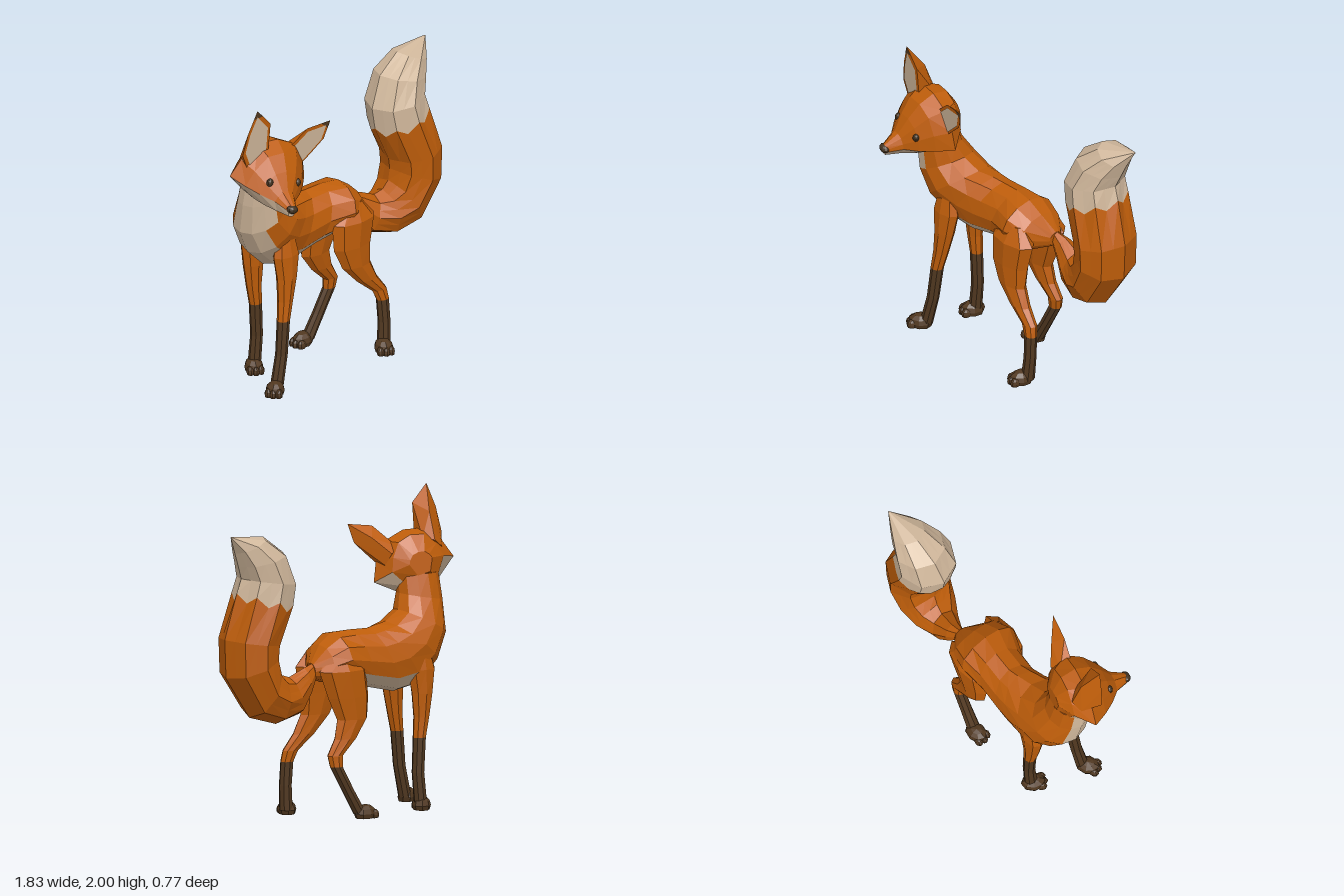
import * as THREE from 'three';
import { ConvexGeometry } from 'three/addons/geometries/ConvexGeometry.js';

const paint = (name, color) => {
  const m = new THREE.MeshStandardMaterial({ color });
  m.name = name;
  return m;
};
const V = (x, y, z) => new THREE.Vector3(x, y, z);

// Skins a list of point rings; colour(ring, side) picks the material index.
function loft(rings, colour) {
  const tris = [[], [], []];
  const n = rings[0].length, last = rings.length - 1;
  const add = (m, ...pts) => pts.forEach(p => tris[m].push(p.x, p.y, p.z));
  const mid = r => r.reduce((s, p) => s.add(p), V(0, 0, 0)).divideScalar(n);
  for (let j = 0; j < n; j++) {
    const k = (j + 1) % n;
    for (let i = 0; i < last; i++) {
      const a = rings[i][j], b = rings[i][k], c = rings[i + 1][k], d = rings[i + 1][j];
      add(colour(i, j), a, b, c, a, c, d);
    }
    add(colour(0, j), mid(rings[0]), rings[0][k], rings[0][j]);
    add(colour(last - 1, j), mid(rings[last]), rings[last][j], rings[last][k]);
  }
  const g = new THREE.BufferGeometry();
  g.setAttribute('position', new THREE.Float32BufferAttribute(tris.flat(), 3));
  let start = 0;
  tris.forEach((t, m) => {
    if (t.length) g.addGroup(start, t.length / 3, m);
    start += t.length / 3;
  });
  g.computeVertexNormals();
  return g;
}

// Elliptical ring: centre, tilt of its first axis in the xy plane, half height, half width.
function oval([x, y, z, tilt, h, w], n) {
  const t = tilt * Math.PI / 180, pts = [];
  for (let k = 0; k < n; k++) {
    const a = k / n * Math.PI * 2, c = h * Math.cos(a);
    pts.push(V(x + c * Math.cos(t), y + c * Math.sin(t), z + w * Math.sin(a)));
  }
  return pts;
}

function flat(g) {
  const f = g.index ? g.toNonIndexed() : g;
  f.computeVertexNormals();
  return f;
}

export function createModel() {
  const fox = new THREE.Group();
  fox.name = 'fox';
  const orange = paint('orangeFur', 0xbe5d0a), cream = paint('creamFur', 0xd0b79b);
  const brown = paint('brownFur', 0x513820), dark = paint('darkNose', 0x43321f);
  const furs = [orange, cream, brown];
  const part = (name, geo, mat, parent = fox) => {
    const m = new THREE.Mesh(geo, mat);
    m.name = name;
    parent.add(m);
    return m;
  };

  // Neck and body in one skin, with pale chest and belly
  const body = [
    [-0.645, 1.48, -0.01, 0, 0.14, 0.13], [-0.645, 1.33, -0.04, 10, 0.15, 0.14],
    [-0.62, 1.18, -0.08, 27, 0.18, 0.18], [-0.525, 1.065, -0.1, 38, 0.22, 0.2],
    [-0.4, 0.99, -0.13, 53, 0.25, 0.18], [-0.28, 0.97, -0.145, 65, 0.23, 0.165],
    [-0.11, 0.995, -0.145, 72, 0.195, 0.165], [0.05, 1.02, -0.13, 80, 0.155, 0.205],
    [0.17, 0.985, -0.14, 88, 0.12, 0.17], [0.26, 0.95, -0.18, 85, 0.05, 0.05],
  ].map(r => oval(r, 12));
  part('body', loft(body, (i, j) => {
    if (i < 2) return j >= 3 && j <= 6 ? 1 : 0;
    return i < 7 && j >= 4 && j <= (i < 4 ? 6 : 7) ? 1 : 0;
  }), furs);

  // Tail: eight flat sides, halved so the pale tip can start in a zigzag
  const tail = [
    [0.25, 0.95, -0.19, 75, 0.05, 0.03], [0.31, 0.89, -0.2, 77, 0.09, 0.06],
    [0.4, 0.81, -0.195, 72, 0.125, 0.1], [0.515, 0.795, -0.185, 96, 0.155, 0.155],
    [0.63, 0.85, -0.175, 121, 0.18, 0.19], [0.72, 1.02, -0.17, 160, 0.185, 0.21],
    [0.72, 1.175, -0.17, 188, 0.185, 0.213], [0.63, 1.415, -0.185, 195, 0.2, 0.2],
    [0.605, 1.555, -0.19, 188, 0.19, 0.192], [0.66, 1.695, -0.205, 168, 0.168, 0.165],
    [0.755, 1.795, -0.22, 157, 0.115, 0.11], [0.91, 1.862, -0.25, 150, 0.003, 0.003],
  ].map((r, i) => {
    const p = oval(r, 8);
    const ring = p.flatMap((a, k) => [a, a.clone().lerp(p[(k + 1) % 8], 0.5)]);
    if (i === 7) ring.forEach((a, k) => { a.y += k % 2 ? -0.025 : 0.025; });
    return ring;
  });
  part('tail', loft(tail, i => (i < 7 ? 0 : 1)), furs);

  // Paw: rounded pad with three toes, flat underneath
  function paw(name, x, z, yaw) {
    const g = new THREE.Group();
    g.name = name;
    const blob = (label, px, py, pz, sx, sy, sz) => {
      const s = new THREE.SphereGeometry(1, 8, 6).scale(sx, sy, sz).translate(px, py, pz);
      const p = s.attributes.position;
      for (let i = 0; i < p.count; i++) p.setY(i, Math.max(0.008, p.getY(i)));
      part(label, flat(s), brown, g);
    };
    blob('pad', 0, 0.04, -0.005, 0.06, 0.058, 0.08);
    for (const t of [-1, 0, 1]) blob('toe', t * 0.034, 0.03, t ? 0.045 : 0.055, 0.024, 0.036, 0.032);
    g.position.set(x, 0, z);
    g.rotation.y = yaw;
    fox.add(g);
  }

  // Leg profiles from top to ankle: height, half length, half width
  const front = [[1.03, 0.07, 0.045], [0.9, 0.1, 0.06], [0.75, 0.074, 0.055], [0.6, 0.054, 0.045],
    [0.47, 0.043, 0.04], [0.25, 0.041, 0.038], [0.04, 0.042, 0.042]];
  const hind = [[1.06, 0.07, 0.04], [0.95, 0.172, 0.085], [0.78, 0.15, 0.073], [0.64, 0.112, 0.06],
    [0.52, 0.08, 0.05], [0.42, 0.055, 0.04], [0.35, 0.044, 0.037], [0.2, 0.042, 0.038], [0.04, 0.044, 0.043]];
  // Each leg follows its own x path, drifts from z0 to z1, and turns brown near the given height
  function leg(name, profile, xs, z0, z1, sockTop, foot) {
    const last = profile.length - 1;
    const rings = profile.map(([y, h, w], i) =>
      oval([xs[i], y, z0 + (z1 - z0) * i / last, 0, h, w], 8));
    part(name, loft(rings, i => (profile[i][0] > sockTop ? 0 : 2)), furs);
    paw(name + 'Paw', ...foot);
  }
  leg('frontLegNear', front, [-0.5, -0.5, -0.505, -0.525, -0.55, -0.575, -0.625],
    0.025, 0.09, 0.5, [-0.66, 0.115, -0.93]);
  leg('frontLegFar', front, [-0.52, -0.53, -0.535, -0.53, -0.515, -0.505, -0.525],
    -0.235, -0.235, 0.5, [-0.54, -0.22, -0.5]);
  leg('hindLegNear', hind, [0.09, 0.08, 0.065, 0.09, 0.17, 0.265, 0.285, 0.29, 0.28],
    0, 0.075, 0.38, [0.25, 0.11, -0.45]);
  leg('hindLegFar', hind, [0.09, 0.08, 0.04, 0.015, 0.07, 0.15, 0.145, 0.065, -0.025],
    -0.255, -0.3, 0.38, [-0.065, -0.305, -1.4]);

  // Head, turned and tilted; built facing +z about its own centre
  const head = new THREE.Group();
  head.name = 'head';
  head.position.set(-0.645, 1.52, 0.06);
  head.rotation.set(0.1, -0.2, -0.24, 'YXZ');
  fox.add(head);
  // Cross-sections from muzzle to nape: z, half width, top, cheek height, bottom
  const skull = [
    [0.32, 0.03, -0.07, -0.105, -0.14], [0.22, 0.075, -0.015, -0.09, -0.155],
    [0.15, 0.15, 0.085, -0.075, -0.155], [0.07, 0.215, 0.175, -0.06, -0.15],
    [-0.03, 0.28, 0.22, -0.04, -0.135], [-0.13, 0.18, 0.19, 0, -0.12],
    [-0.19, 0.08, 0.08, 0.02, -0.06],
  ].map(([z, w, t, c, b]) => {
    const side = [[0.5 * w, t - 0.12 * (t - c)], [0.83 * w, c + 0.45 * (t - c)], [w, c], [0.55 * w, b]];
    return [V(0, t, z), ...side.map(([x, y]) => V(x, y, z)), V(0, b, z),
      ...side.reverse().map(([x, y]) => V(-x, y, z))];
  });
  part('skull', loft(skull, (i, j) => (i < 5 && j >= 3 && j <= 6 ? 1 : 0)), furs, head);

  const ball = (name, x, y, z, ...size) => {
    const g = flat(new THREE.SphereGeometry(1, 10, 8).scale(...size));
    part(name, g, dark, head).position.set(x, y, z);
  };
  ball('nose', 0, -0.095, 0.315, 0.04, 0.027, 0.03);

  // Ears: folded shell with a pale plate and dark tip inside, plus the eye on the same side
  for (const [s, tx, ty, z] of [[-1, 0.25, 0.445, 0.02], [1, 0.34, 0.36, -0.01]]) {
    const side = s < 0 ? 'right' : 'left';
    const rim = [[0.08, 0.15], [0.19, 0.02], [0.265, 0.13],
      [tx * 0.68 + 0.1, ty * 0.62 + 0.01], [tx, ty], [tx * 0.68 - 0.045, ty * 0.62 + 0.08]]
      .map(([x, y]) => new THREE.Vector2(s * x, y));
    const pts = rim.map(p => V(p.x, p.y, z));
    pts.push(V(s * 0.09, 0.14, -0.09), V(s * 0.2, 0.05, -0.09), V(s * 0.15, 0.11, -0.13),
      V(s * (tx * 0.55 + 0.045), ty * 0.55 + 0.04, -0.08));
    part(side + 'Ear', flat(new ConvexGeometry(pts)), orange, head);
    const plate = (name, outline, mat, lift) => {
      part(side + name, new THREE.ShapeGeometry(new THREE.Shape(outline)), mat, head)
        .position.z = z + lift;
    };
    const centre = rim.reduce((a, p) => a.add(p), new THREE.Vector2()).divideScalar(6);
    plate('InnerEar', rim.map(p => centre.clone().lerp(p, 0.8)), cream, 0.004);
    plate('EarTip', [3, 4, 5].map(k => rim[4].clone().lerp(rim[k], 0.4)), brown, 0.002);
    ball(side + 'Eye', s * 0.103, 0.008, 0.152, 0.023, 0.028, 0.022);
  }
  return fox;
}
